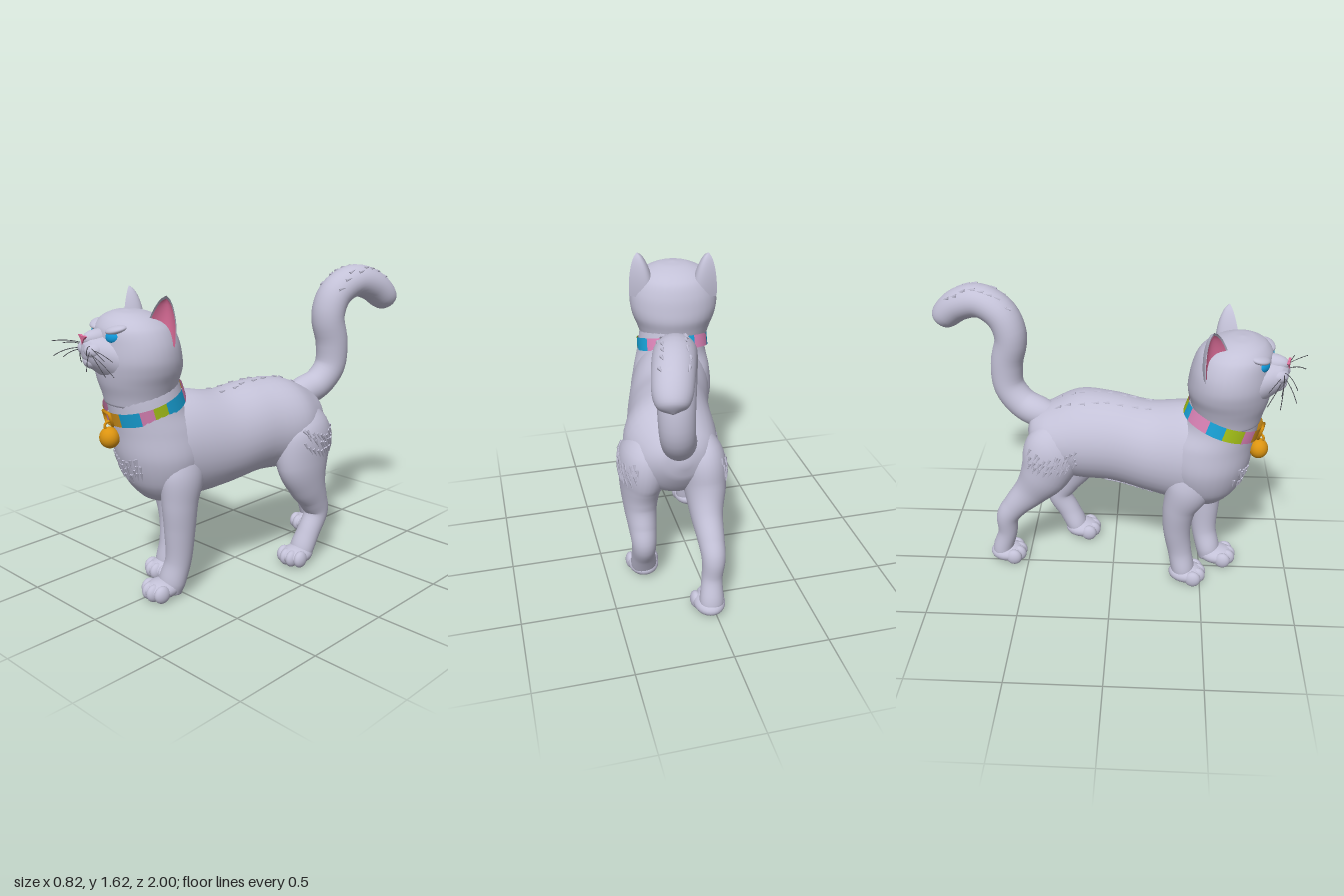
import * as THREE from 'three';
import { mergeGeometries } from 'three/addons/utils/BufferGeometryUtils.js';

const mat = (name, color, side = THREE.FrontSide) => {
  const m = new THREE.MeshStandardMaterial({ color, side });
  m.name = name;
  return m;
};
const V = (x, y, z) => new THREE.Vector3(x, y, z);

// Smooth skin over elliptical sections [x, y, z, sideRadius, otherRadius].
// With an axis the rings stay square to it, otherwise they follow the path.
function loft(secs, axis = null, rows = 48, cols = 32) {
  const path = new THREE.CatmullRomCurve3(secs.map(s => V(s[0], s[1], s[2])));
  const radii = new THREE.CatmullRomCurve3(secs.map(s => V(s[3], s[4], 0)), false, 'catmullrom');
  const pos = [], idx = [];
  for (let i = 0; i <= rows; i++) {
    const t = i / rows, c = path.getPoint(t), r = radii.getPoint(t);
    const T = axis ? axis.clone() : path.getTangent(t);
    const R = V(1, 0, 0).addScaledVector(T, -T.x).normalize();
    const U = T.clone().cross(R);
    for (let j = 0; j < cols; j++) {
      const a = j / cols * Math.PI * 2;
      const p = c.clone()
        .addScaledVector(R, Math.max(r.x, 0.002) * Math.cos(a))
        .addScaledVector(U, Math.max(r.y, 0.002) * Math.sin(a));
      pos.push(p.x, p.y, p.z);
      if (i < rows) {
        const k = i * cols + j, n = i * cols + (j + 1) % cols;
        idx.push(k, n, k + cols, n, n + cols, k + cols);
      }
    }
  }
  // end caps
  const s = secs[0], e = secs[secs.length - 1], first = pos.length / 3;
  pos.push(s[0], s[1], s[2], e[0], e[1], e[2]);
  for (let j = 0; j < cols; j++) {
    const n = (j + 1) % cols, o = rows * cols;
    idx.push(first, n, j, first + 1, o + j, o + n);
  }
  const g = new THREE.BufferGeometry();
  g.setAttribute('position', new THREE.Float32BufferAttribute(pos, 3));
  g.setIndex(idx);
  g.computeVertexNormals();
  return g;
}

// Curved, pointed ear leaf, hollow towards +z
function earLeaf(w, h, depth) {
  const g = new THREE.PlaneGeometry(2, 1, 14, 14), p = g.attributes.position;
  for (let i = 0; i < p.count; i++) {
    const u = p.getX(i), v = p.getY(i) + 0.5;
    const half = Math.pow(1 - v, 0.65) * (1 + 0.5 * v);
    p.setXYZ(i, u * w * half, v * h, -depth * (1 - u * u) * half);
  }
  g.computeVertexNormals();
  return g;
}

export function createModel() {
  const model = new THREE.Group();
  const fur = mat('grey fur', 0xc3c1d7);
  const earFur = mat('ear fur', 0xc3c1d7, THREE.DoubleSide);
  const skin = mat('pink skin', 0xe0709c, THREE.DoubleSide);
  const eyeBlue = mat('eye blue', 0x0f9ce0);
  const dark = mat('whisker grey', 0x4a4a52);
  const gold = mat('gold', 0xdc9410);
  const band = {
    p: mat('collar pink', 0xdc84b8, THREE.DoubleSide), o: mat('collar orange', 0xd6951c, THREE.DoubleSide),
    b: mat('collar blue', 0x18a4da, THREE.DoubleSide), g: mat('collar green', 0xa8c418, THREE.DoubleSide)
  };
  const add = (parent, name, geo, m, x = 0, y = 0, z = 0) => {
    const mesh = new THREE.Mesh(geo, m);
    mesh.name = name;
    mesh.position.set(x, y, z);
    parent.add(mesh);
    return mesh;
  };
  const ball = (parent, name, m, x, y, z, rx, ry, rz) => {
    const b = add(parent, name, new THREE.SphereGeometry(1, 28, 18), m, x, y, z);
    b.scale.set(rx, ry, rz);
    return b;
  };

  // Body, chest and tail
  const body = [];
  const skinPart = (name, secs, axis) => body.push(add(model, name, loft(secs, axis), fur));
  skinPart('torso', [
    [.12, .82, -.48, .02, .02], [.12, .82, -.46, .11, .1], [.12, .79, -.38, .2, .185],
    [.13, .805, -.2, .25, .247], [.09, .81, 0, .235, .25], [.045, .782, .2, .235, .256],
    [-.01, .79, .4, .235, .285], [-.04, .8, .55, .215, .26], [-.05, .8, .66, .16, .19],
    [-.05, .8, .73, .03, .04]], V(0, 0, 1));
  skinPart('chest', [
    [-.03, .49, .5, .02, .02], [-.03, .53, .5, .12, .11], [-.035, .62, .5, .195, .185],
    [-.04, .76, .5, .235, .235], [-.05, .9, .52, .222, .232], [-.06, 1, .565, .2, .2],
    [-.07, 1.1, .585, .19, .188], [-.07, 1.2, .59, .17, .17]], V(0, 1, 0));
  skinPart('tail', [
    [.12, .9, -.3, .06, .06], [.13, .925, -.41, .085, .085], [.16, .965, -.51, .085, .085],
    [.185, 1.06, -.585, .088, .085], [.19, 1.2, -.59, .092, .088], [.182, 1.35, -.56, .097, .088],
    [.195, 1.47, -.605, .098, .09], [.23, 1.532, -.72, .098, .09], [.265, 1.5, -.84, .096, .088],
    [.288, 1.435, -.92, .088, .08], [.295, 1.395, -.953, .064, .06], [.297, 1.375, -.968, .005, .005]]);

  // Legs, from inside the body down to the paw
  skinPart('leftHindLeg', [
    [.24, .93, -.23, .05, .07], [.275, .78, -.24, .13, .18], [.3, .6, -.225, .11, .175],
    [.31, .47, -.255, .088, .125], [.31, .37, -.305, .075, .09], [.31, .28, -.34, .065, .072],
    [.305, .17, -.285, .064, .064], [.295, .08, -.24, .07, .062], [.29, .03, -.225, .06, .05]]);
  skinPart('rightHindLeg', [
    [.03, .93, -.25, .05, .07], [0, .78, -.32, .12, .16], [-.01, .62, -.38, .11, .14],
    [0, .5, -.46, .085, .1], [0, .4, -.55, .07, .075], [0, .32, -.605, .062, .065],
    [.01, .2, -.615, .055, .055], [.02, .08, -.65, .064, .058], [.02, .03, -.65, .055, .05]]);
  skinPart('leftFrontLeg', [
    [.08, .87, .48, .05, .07], [.11, .68, .5, .095, .125], [.115, .52, .52, .086, .1],
    [.11, .38, .52, .078, .085], [.1, .2, .525, .068, .07], [.08, .09, .55, .075, .068],
    [.07, .03, .56, .065, .06]]);
  skinPart('rightFrontLeg', [
    [-.13, .87, .43, .05, .07], [-.155, .66, .42, .095, .12], [-.14, .5, .37, .085, .092],
    [-.125, .35, .36, .072, .076], [-.115, .2, .38, .064, .066], [-.12, .09, .4, .073, .066],
    [-.125, .03, .41, .065, .06]]);

  // Paws with four toes
  const paws = { leftFrontPaw: [.06, .6, -.15], rightFrontPaw: [-.125, .42, -.1],
    leftHindPaw: [.29, -.205, 0], rightHindPaw: [.025, -.625, 0] };
  for (const [name, [x, z, yaw]] of Object.entries(paws)) {
    const paw = new THREE.Group();
    paw.name = name;
    paw.position.set(x, 0, z);
    paw.rotation.y = yaw;
    model.add(paw);
    ball(paw, 'pad', fur, 0, .052, .005, .083, .052, .102);
    for (const t of [-1.5, -.5, .5, 1.5])
      ball(paw, 'toe', fur, t * .041, .047, .078 - Math.abs(t) * .022, .03, .047, .045);
  }

  // Head, turned slightly to its right
  const head = new THREE.Group();
  head.name = 'head';
  head.position.set(-.085, 1.28, .61);
  head.rotation.y = -.24;
  model.add(head);
  add(head, 'skull', loft([
    [0, -.24, -.01, .185, .172], [0, -.19, -.01, .197, .184], [0, -.13, -.008, .217, .2],
    [0, -.07, -.01, .24, .212], [0, -.005, -.005, .252, .212], [0, .07, 0, .243, .202],
    [0, .14, .012, .212, .182], [0, .185, .025, .16, .135], [0, .212, .035, .085, .07],
    [0, .22, .04, .005, .005]], V(0, 1, 0)), fur);
  add(head, 'muzzle', loft([
    [0, -.01, .02, .225, .15], [0, -.01, .1, .198, .135], [0, .002, .16, .155, .115],
    [0, .02, .215, .112, .092], [0, .034, .255, .08, .068], [0, .042, .278, .038, .036],
    [0, .045, .283, .003, .003]], V(0, 0, 1)), fur);
  ball(head, 'noseBridge', fur, 0, .095, .19, .05, .046, .09);
  ball(head, 'chin', fur, 0, -.012, .228, .056, .04, .05);

  // Nose: a wide triangle with its point down
  const noseShape = new THREE.Shape();
  noseShape.moveTo(0, -.028);
  noseShape.quadraticCurveTo(.01, -.002, .042, .014);
  noseShape.quadraticCurveTo(.02, .02, 0, .012);
  noseShape.quadraticCurveTo(-.02, .02, -.042, .014);
  noseShape.quadraticCurveTo(-.01, -.002, 0, -.028);
  const nose = new THREE.ExtrudeGeometry(noseShape, { depth: .012, bevelEnabled: false, curveSegments: 8 });
  add(head, 'nose', nose, skin, 0, .1, .271);

  for (const s of [-1, 1]) {
    ball(head, 'whiskerPad', fur, s * .036, .046, .23, .058, .042, .056);
    const eye = ball(head, 'eye', eyeBlue, s * .1, .112, .17, .039, .029, .018);
    eye.rotation.set(-.1, s * .45, s * .15);
    const brow = ball(head, 'brow', fur, s * .1, .146, .148, .062, .02, .045);
    brow.rotation.set(.2, s * .45, s * .12);
    const ear = new THREE.Group();
    ear.name = 'ear';
    ear.position.set(s * .183, .065, -.035);
    ear.rotation.set(-.08, s * .68, -s * .1);
    head.add(ear);
    add(ear, 'earShell', earLeaf(.086, .24, .1), earFur);
    add(ear, 'innerEar', earLeaf(.078, .22, .045), skin, 0, .006, -.004);
    // Whiskers
    for (let i = 0; i < 6; i++) {
      const f = i / 5, y = .07 - .04 * f;
      const c = new THREE.QuadraticBezierCurve3(V(s * .05, y, .262),
        V(s * (.11 + .02 * f), y + .015 - .03 * f, .31 - .03 * (i % 3)),
        V(s * (.215 + .04 * Math.sin(i * 2)), y - .01 - .08 * f, .35 - .07 * (i % 3)));
      add(head, 'whisker', new THREE.TubeGeometry(c, 8, .002, 4), dark);
    }
  }

  // Striped collar with buckle and bell
  const collar = new THREE.Group();
  collar.name = 'collar';
  collar.position.set(-.07, 1.035, .58);
  collar.rotation.x = .3;
  model.add(collar);
  const stripes = [['p', -.36], ['o', -.08], ['b', .22], ['p', .76], ['g', 1.1], ['b', 1.45],
    ['p', 2.15], ['o', 2.8], ['g', 3], ['b', 3.3], ['p', 3.6], ['b', 4.25], ['g', 4.68], ['p', 5.2], ['o', 5.55]];
  stripes.forEach(([key, start], i) => {
    const end = i + 1 < stripes.length ? stripes[i + 1][1] : -.36 + Math.PI * 2;
    add(collar, 'collarStripe', new THREE.CylinderGeometry(.206, .208, .074, 6, 1, true, start, end - start), band[key]);
  });
  const frame = add(collar, 'buckle', new THREE.TorusGeometry(.045, .009, 8, 4), gold, -.045, 0, .206);
  frame.geometry.rotateZ(Math.PI / 4);
  frame.rotation.y = -.22;
  add(model, 'bellRing', new THREE.TorusGeometry(.02, .007, 8, 20), gold, -.115, .935, .775).rotation.y = 1.2;
  ball(model, 'bell', gold, -.115, .872, .772, .054, .054, .05);

  // Fur tufts, dropped onto the skin in loose rows
  model.updateMatrixWorld(true);
  let seed = 7;
  const jit = d => ((seed = (seed * 16807) % 2147483647) / 2147483647 - .5) * d;
  const ray = new THREE.Raycaster(), tufts = [];
  const tuft = (from, dir, lie, len = .05) => {
    ray.set(from.add(V(jit(.02), jit(.02), jit(.02))), dir);
    const hit = ray.intersectObjects(body)[0];
    if (!hit) return;
    const n = hit.face.normal;
    const d = lie.clone().addScaledVector(n, -lie.dot(n)).normalize().addScaledVector(n, .1).normalize();
    const g = new THREE.ConeGeometry(.01, len, 5);
    g.applyQuaternion(new THREE.Quaternion().setFromUnitVectors(V(0, 1, 0), d));
    const p = hit.point.addScaledVector(d, len * .3);
    tufts.push(g.translate(p.x, p.y, p.z));
  };
  for (let r = 0; r < 3; r++) for (let i = 0; i < 10; i++) {
    const o = i + (r % 2) * .5, bow = .004 * (i - 5) ** 2;
    tuft(V(-.2 + .026 * o, .67 + .04 * r + bow * .4, 2), V(0, 0, -1), V(0, -1, 0));
    for (const s of [-1, 1]) // thighs
      tuft(V(2 * s, .68 + .04 * r + bow * .5, -.14 - .027 * o - (s < 0 ? .06 : 0)), V(-s, 0, 0), V(0, -1, -.5));
    tuft(V(-.04 + .06 * r, -1, -.02 + .03 * o), V(0, 1, 0), V(0, 0, -1), .04); // belly
  }
  for (let i = 0; i < 8; i++) for (const s of [-1, 1]) {
    tuft(V(.09 + .05 * s - .006 * i, 3, -.3 + .07 * i), V(0, -1, 0), V(0, 0, -1), .04); // back
    tuft(V(.2 + .06 * s + .01 * i, 3, -.55 - .048 * i), V(0, -1, 0), V(0, 0, -1), .04); // tail
  }
  add(model, 'furTufts', mergeGeometries(tufts), fur);
  return model;
}
